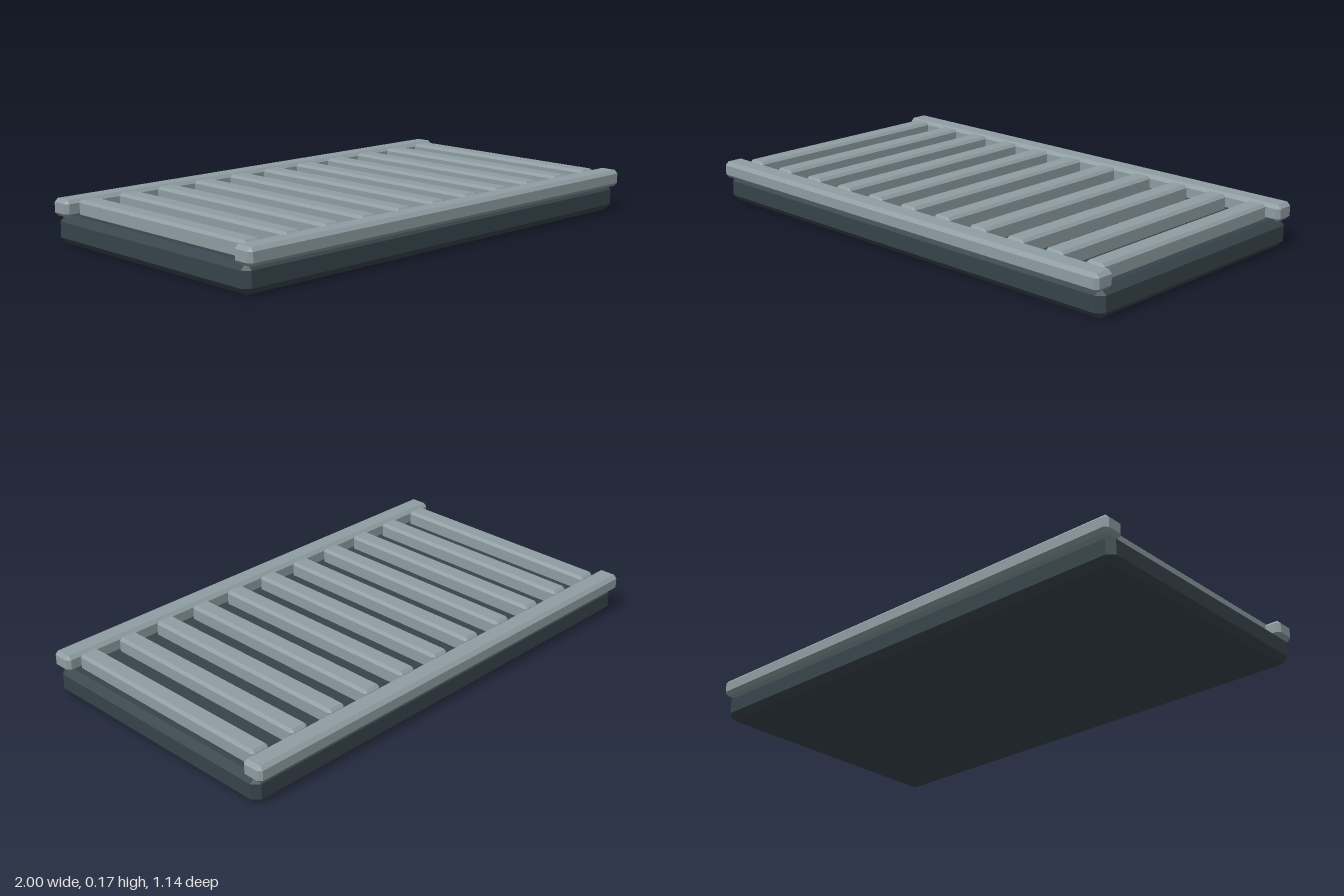
import * as THREE from 'three';
import { ConvexGeometry } from 'three/addons/geometries/ConvexGeometry.js';

// Box with every edge and corner cut off by c
function chamferBox(w, h, d, c) {
  const x = w / 2, y = h / 2, z = d / 2, points = [];
  for (const i of [-1, 1]) for (const j of [-1, 1]) for (const k of [-1, 1]) {
    points.push(
      new THREE.Vector3(i * x, j * (y - c), k * (z - c)),
      new THREE.Vector3(i * (x - c), j * y, k * (z - c)),
      new THREE.Vector3(i * (x - c), j * (y - c), k * z)
    );
  }
  return new ConvexGeometry(points);
}

export function createModel() {
  const group = new THREE.Group();
  group.name = 'slattedGrate';

  const darkMetal = new THREE.MeshStandardMaterial({ color: 0x37444b });
  darkMetal.name = 'darkMetal';
  const paleMetal = new THREE.MeshStandardMaterial({ color: 0x8f9da2 });
  paleMetal.name = 'paleMetal';

  const add = (name, geometry, material, x, y, z) => {
    const mesh = new THREE.Mesh(geometry, material);
    mesh.name = name;
    mesh.position.set(x, y, z);
    group.add(mesh);
  };

  // Base slab
  add('base', chamferBox(2, 0.113, 1.09, 0.026), darkMetal, 0, 0.0565, 0);

  // Long rails along front and back
  const rail = chamferBox(2, 0.067, 0.09, 0.014);
  add('frontRail', rail, paleMetal, 0, 0.1365, 0.523);
  add('backRail', rail, paleMetal, 0, 0.1365, -0.523);

  // Row of cross slats
  const slat = chamferBox(0.08, 0.067, 0.954, 0.011);
  for (let i = 0; i < 11; i++) {
    add('slat' + (i + 1), slat, paleMetal, (i - 5) * 0.1818, 0.1365, 0);
  }
  return group;
}
